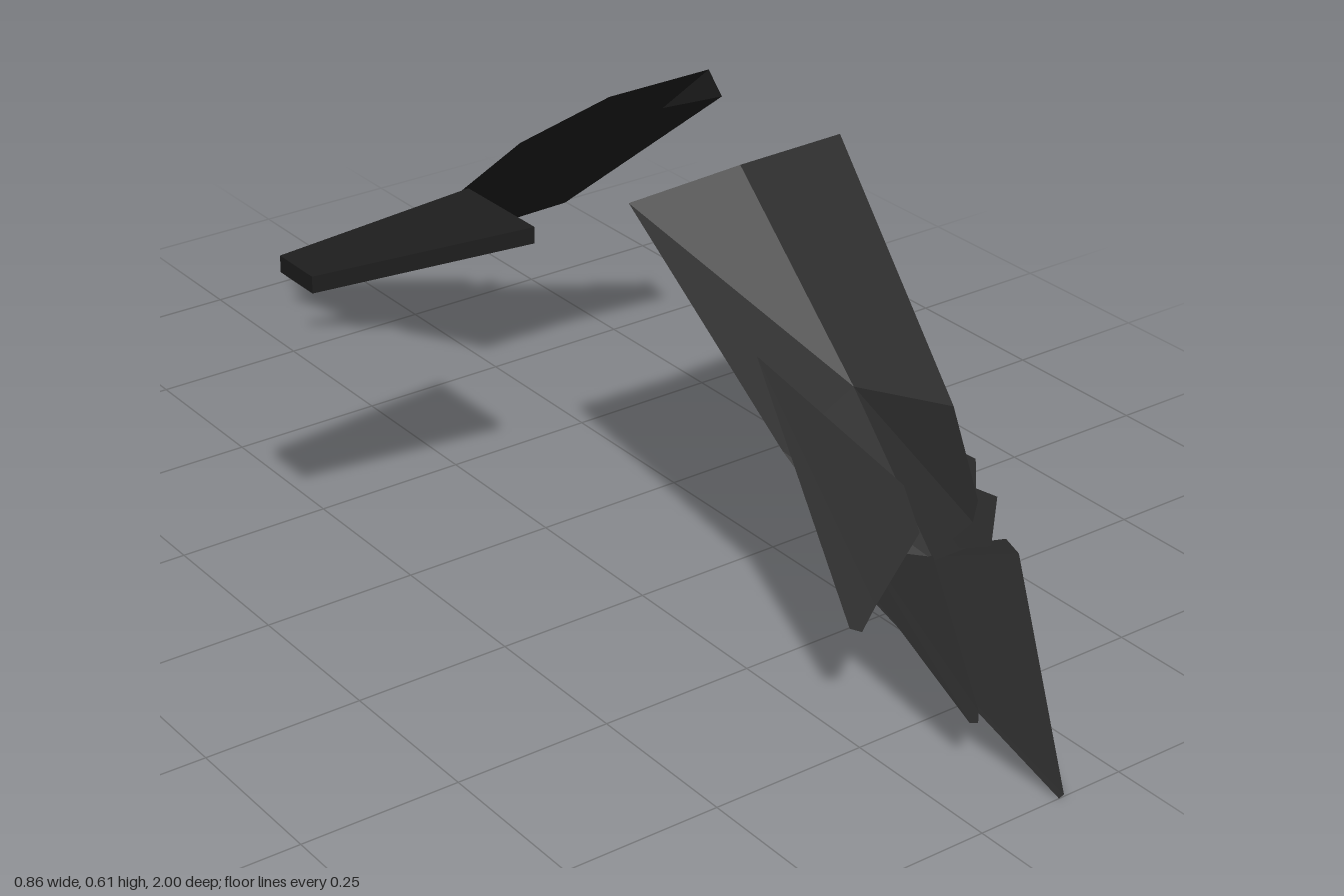
import * as THREE from 'three';

const black = new THREE.MeshStandardMaterial({ color: 0x1e1e1e, side: THREE.DoubleSide });
black.name = 'matte black';

// Flat-shaded shell through matching cross-sections, closed at the far end
// and, if wanted, at the near end too
function loft(sections, closeStart) {
  const n = sections[0].length, pos = [];
  const tri = (a, b, c) => pos.push(...a, ...b, ...c);
  for (let s = 0; s < sections.length - 1; s++) {
    const p = sections[s], q = sections[s + 1];
    for (let i = 0; i < n; i++) {
      const j = (i + 1) % n;
      tri(p[i], q[i], q[j]);
      tri(p[i], q[j], p[j]);
    }
  }
  const first = sections[0], last = sections[sections.length - 1];
  for (let i = 1; i < n - 1; i++) {
    if (closeStart) tri(first[0], first[i], first[i + 1]);
    tri(last[0], last[i + 1], last[i]);
  }
  const g = new THREE.BufferGeometry();
  g.setAttribute('position', new THREE.Float32BufferAttribute(pos, 3));
  g.computeVertexNormals();
  return g;
}

// Sloping sheet: outline in (x, z), height falls linearly with z
function feather(outline, z0, y0, slope) {
  const shape = new THREE.Shape(outline.map(p => new THREE.Vector2(...p)));
  const g = new THREE.ShapeGeometry(shape).toNonIndexed();
  const p = g.attributes.position;
  for (let i = 0; i < p.count; i++) {
    const z = p.getY(i);
    p.setXYZ(i, p.getX(i), y0 - slope * (z - z0), z);
  }
  g.computeVertexNormals();
  return g;
}

// Copy reflected across z = 0, with winding restored
function mirrorZ(source) {
  const g = source.clone().scale(1, 1, -1);
  const p = g.attributes.position, a = new THREE.Vector3(), b = new THREE.Vector3();
  for (let i = 0; i < p.count; i += 3) {
    a.fromBufferAttribute(p, i + 1);
    b.fromBufferAttribute(p, i + 2);
    p.setXYZ(i + 1, b.x, b.y, b.z);
    p.setXYZ(i + 2, a.x, a.y, a.z);
  }
  g.computeVertexNormals();
  return g;
}

function mesh(geometry, name) {
  const m = new THREE.Mesh(geometry, black);
  m.name = name;
  return m;
}

export function createModel() {
  const model = new THREE.Group();
  model.name = 'wingsAndTail';

  // Each section: trailing edge, top middle, top leading, bottom leading, bottom middle
  const wingBody = loft([
    [[0.05, 0.587, 0.137], [0.235, 0.61, 0.162], [0.427, 0.612, 0.16], [0.427, 0.578, 0.125], [0.235, 0.584, 0.14]],
    [[0.077, 0.318, 0.47], [0.24, 0.355, 0.43], [0.387, 0.302, 0.485], [0.387, 0.274, 0.49], [0.24, 0.285, 0.475]],
    [[0.1, 0.205, 0.625], [0.2, 0.189, 0.662], [0.305, 0.187, 0.66], [0.305, 0.178, 0.658], [0.2, 0.18, 0.658]],
  ], false);

  const parts = {
    wingBody,
    tipFeather: feather([[0.062, 0.61], [0.335, 0.665], [0.338, 0.69], [0.15, 0.998], [0.139, 1.0]], 1, 0, 0.54),
    trailingFeather: feather([[0.115, 0.36], [0.22, 0.57], [0.2, 0.63], [0.068, 0.692], [0.026, 0.714], [0.011, 0.705]], 0.36, 0.412, 0.715),
    lowerFeather: feather([[0.12, 0.52], [0.22, 0.62], [0.105, 0.87], [0.092, 0.884], [0.08, 0.88], [0.076, 0.6]], 0.88, 0.079, 0.51),
    innerLeadingFeather: feather([[0.3, 0.5], [0.352, 0.535], [0.37, 0.556], [0.325, 0.61], [0.28, 0.6]], 0.56, 0.249, 0.58),
    outerLeadingFeather: feather([[0.25, 0.55], [0.335, 0.59], [0.362, 0.614], [0.3, 0.672], [0.25, 0.66]], 0.615, 0.217, 0.58),
  };

  // Matching wings on both sides
  for (const side of ['front', 'back']) {
    const wing = new THREE.Group();
    wing.name = `${side}Wing`;
    for (const [name, g] of Object.entries(parts)) {
      wing.add(mesh(side === 'front' ? g : mirrorZ(g), name));
    }
    model.add(wing);
  }

  // Tapered tail slab
  const tailEnd = (x, w) => [[x, 0.538, -w], [x, 0.564, -w], [x, 0.564, w], [x, 0.538, w]];
  model.add(mesh(loft([tailEnd(-0.08, 0.085), tailEnd(-0.43, 0.043)], true), 'tail'));

  return model;
}
